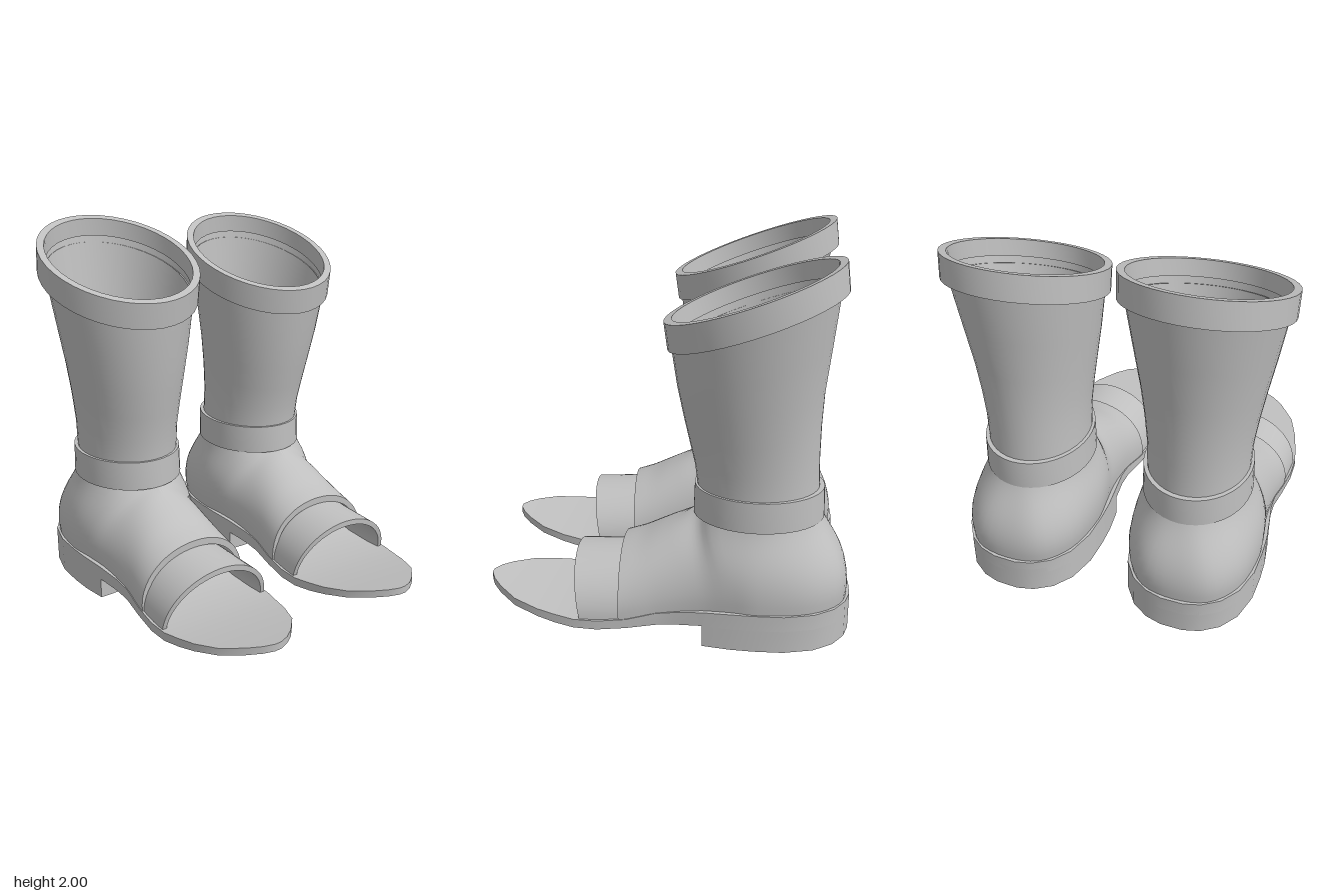
import * as THREE from 'three';
import { toCreasedNormals } from 'three/addons/utils/BufferGeometryUtils.js';

const grey = new THREE.MeshStandardMaterial({ color: 0xbfbfbf, side: THREE.DoubleSide });
grey.name = 'grey leather';
const V = (x, y, z) => new THREE.Vector3(x, y, z);

// Skin a list of cross-sections (each a list of points) with quads.
function loft(name, rows, closed) {
  const n = rows[0].length, index = [];
  for (let i = 0; i < rows.length - 1; i++) {
    for (let j = 0; j < (closed ? n : n - 1); j++) {
      const k = (j + 1) % n, a = i * n, b = a + n;
      index.push(a + j, b + j, b + k, a + j, b + k, a + k);
    }
  }
  const geo = new THREE.BufferGeometry().setFromPoints(rows.flat());
  geo.setIndex(index);
  const mesh = new THREE.Mesh(toCreasedNormals(geo, 0.7), grey);
  mesh.name = name;
  return mesh;
}

// Horizontal ellipse, optionally tilted so that the back is higher.
function ring(cx, cy, cz, rx, rz, slope = 0) {
  return Array.from({ length: 40 }, (_, i) => {
    const a = (i / 40) * Math.PI * 2;
    return V(cx + rx * Math.cos(a), cy - slope * rz * Math.sin(a), cz + rz * Math.sin(a));
  });
}

// Smoothly resample a table of [z, ...values] rows.
function lerpTable(table, z) {
  let i = 0;
  while (i < table.length - 2 && z > table[i + 1][0]) i++;
  const [a, b] = [table[i], table[i + 1]];
  return a[1] + (b[1] - a[1]) * THREE.MathUtils.clamp((z - a[0]) / (b[0] - a[0]), 0, 1);
}

const outline = [[-0.985, 0.06], [-0.96, 0.15], [-0.9, 0.24], [-0.8, 0.31], [-0.65, 0.35], [-0.5, 0.355],
  [-0.38, 0.35], [-0.24, 0.33], [-0.1, 0.307], [0, 0.303], [0.15, 0.32], [0.3, 0.335], [0.42, 0.333],
  [0.52, 0.31], [0.62, 0.285], [0.75, 0.23], [0.85, 0.14], [0.9, 0.075], [0.925, 0.02]];
const soleTop = [[-0.985, 0.2], [-0.4, 0.2], [-0.24, 0.19], [0, 0.155], [0.15, 0.12], [0.3, 0.11],
  [0.45, 0.112], [0.6, 0.13], [0.75, 0.155], [0.925, 0.19]];
const soleBottom = [[-0.985, 0.12], [-0.24, 0.115], [0, 0.09], [0.2, 0.065], [0.35, 0.06], [0.5, 0.07],
  [0.7, 0.105], [0.925, 0.15]];

// Slab with the foot outline between two heights, capped at both ends.
function slab(name, zMax, top, bottom) {
  const rows = outline.filter(([z]) => z <= zMax).map(([z, w]) => {
    const t = top(z), b = bottom(z);
    return [V(-w, t, z), V(w, t, z), V(w, b, z), V(-w, b, z)];
  });
  const cap = (r) => r.map(() => r[0].clone().add(r[2]).multiplyScalar(0.5));
  return loft(name, [cap(rows[0]), ...rows, cap(rows[rows.length - 1])], true);
}

// Upper: sole edge, two bulge controls and top edge for stations from instep to heel.
const stations = [
  [[0.32, 0.11, 0.19], [0.34, 0.31, 0.19], [0.19, 0.435, 0.2], [0, 0.435, 0.2]],
  [[0.31, 0.125, 0.1], [0.325, 0.33, 0.1], [0.2, 0.47, 0.1], [0, 0.47, 0.1]],
  [[0.3, 0.15, 0], [0.315, 0.36, 0], [0.19, 0.52, 0], [0, 0.52, 0]],
  [[0.3, 0.175, -0.13], [0.32, 0.38, -0.12], [0.18, 0.57, -0.1], [0, 0.57, -0.1]],
  [[0.31, 0.19, -0.25], [0.335, 0.4, -0.24], [0.2, 0.56, -0.16], [0, 0.62, -0.18]],
  [[0.33, 0.2, -0.38], [0.365, 0.42, -0.38], [0.27, 0.5, -0.26], [0.19, 0.62, -0.27]],
  [[0.345, 0.2, -0.52], [0.375, 0.42, -0.52], [0.3, 0.5, -0.5], [0.275, 0.62, -0.505]],
  [[0.3, 0.2, -0.78], [0.33, 0.4, -0.8], [0.23, 0.5, -0.75], [0.19, 0.62, -0.735]],
  [[0.18, 0.2, -0.93], [0.2, 0.4, -0.96], [0.12, 0.5, -0.86], [0.1, 0.62, -0.81]],
  [[0, 0.2, -0.97], [0, 0.4, -0.99], [0, 0.5, -0.88], [0, 0.62, -0.83]],
];

function upper(ankleX) {
  const mirrored = stations.slice(0, -1).reverse().map((s) => s.map(([x, y, z]) => [-x, y, z]));
  const all = [...stations, ...mirrored];
  const rails = [0, 1, 2, 3].map((k) => new THREE.CatmullRomCurve3(all.map((s) => V(...s[k]))));
  const rows = [];
  for (let i = 0; i <= 72; i++) {
    const rib = new THREE.CubicBezierCurve3(...rails.map((r) => r.getPoint(i / 72)));
    rows.push(rib.getPoints(14).map((p) => {
      p.x += ankleX * THREE.MathUtils.clamp((p.y - 0.2) / 0.42, 0, 1);
      return p;
    }));
  }
  // turned-in lip along the instep edge
  const lip = (row) => row.map((p) => V(p.x * 0.92, 0.11 + (p.y - 0.11) * 0.88, p.z));
  return loft('upper', [lip(rows[0]), ...rows, lip(rows[72])], false);
}

// Arched strap over the toes with a visible thickness.
function toeStrap() {
  const rows = [[0.05, 0.3, 0.3], [0.2, 0.315, 0.285], [0.39, 0.325, 0.275], [0.39, 0.3, 0.243], [0.05, 0.28, 0.26]];
  return loft('toeStrap', rows.map(([z, w, h]) => Array.from({ length: 29 }, (_, i) => {
    const a = (i / 28) * Math.PI;
    return V(-w * Math.cos(a), 0.105 + h * Math.sin(a), z + 0.055 * Math.sin(a));
  })), false);
}

function boot(name, { x, z, turn, ankleX, collarX, collarZ, lift, wide }) {
  const g = new THREE.Group();
  g.name = name;
  g.position.set(x, 0, z);
  g.rotation.y = turn;

  g.add(slab('sole', 1, (q) => lerpTable(soleTop, q), (q) => lerpTable(soleBottom, q)));
  g.add(slab('heel', -0.24, () => 0.15, () => 0));
  g.add(upper(ankleX), toeStrap());

  // ankle band
  g.add(loft('ankleBand', [[0.61, 0.265, 0.31], [0.61, 0.288, 0.338], [0.77, 0.284, 0.333], [0.77, 0.26, 0.305]]
    .map(([y, rx, rz]) => ring(ankleX, y, -0.503, rx, rz)), true));

  // shaft: height, centre z, radii, tilt; flares towards the tilted top
  const profile = [[0.6, -0.505, 0.27, 0.315, 0], [0.75, -0.498, 0.267, 0.312, 0.03], [0.9, -0.487, 0.27, 0.317, 0.08],
    [1.05, -0.473, 0.287, 0.332, 0.14], [1.2, -0.463, 0.309, 0.35, 0.2], [1.4, -0.46, 0.342, 0.38, 0.28],
    [1.68, -0.46, 0.384, 0.415, 0.35]];
  g.add(loft('shaft', profile.map(([y, cz, rx, rz, slope]) => {
    const t = Math.max(0, (y - 0.75) / 0.93);
    return ring(THREE.MathUtils.lerp(ankleX, collarX, t), y + lift * t, cz + collarZ * t,
      rx * (1 + wide * t), rz * (1 + wide * t), slope);
  }), true));

  // collar: rolled cuff around the tilted opening
  const cuff = [[1.64, -0.468, 0.37, 0.4], [1.635, -0.47, 0.41, 0.437], [1.775, -0.452, 0.413, 0.438],
    [1.775, -0.452, 0.375, 0.4], [1.68, -0.462, 0.37, 0.395]];
  g.add(loft('collar', cuff.map(([y, cz, rx, rz]) =>
    ring(collarX, y + lift, cz + collarZ, rx * (1 + wide), rz * (1 + wide), 0.355)), true));
  return g;
}

export function createModel() {
  const model = new THREE.Group();
  model.name = 'bootPair';
  model.add(
    boot('leftBoot', { x: 0.455, z: 0, turn: 0, ankleX: -0.017, collarX: 0.018, collarZ: 0, lift: 0, wide: 0 }),
    boot('rightBoot', { x: -0.445, z: 0.06, turn: 0.04, ankleX: 0.017, collarX: 0.005, collarZ: -0.032, lift: 0.065, wide: 0.03 }),
  );
  return model;
}
